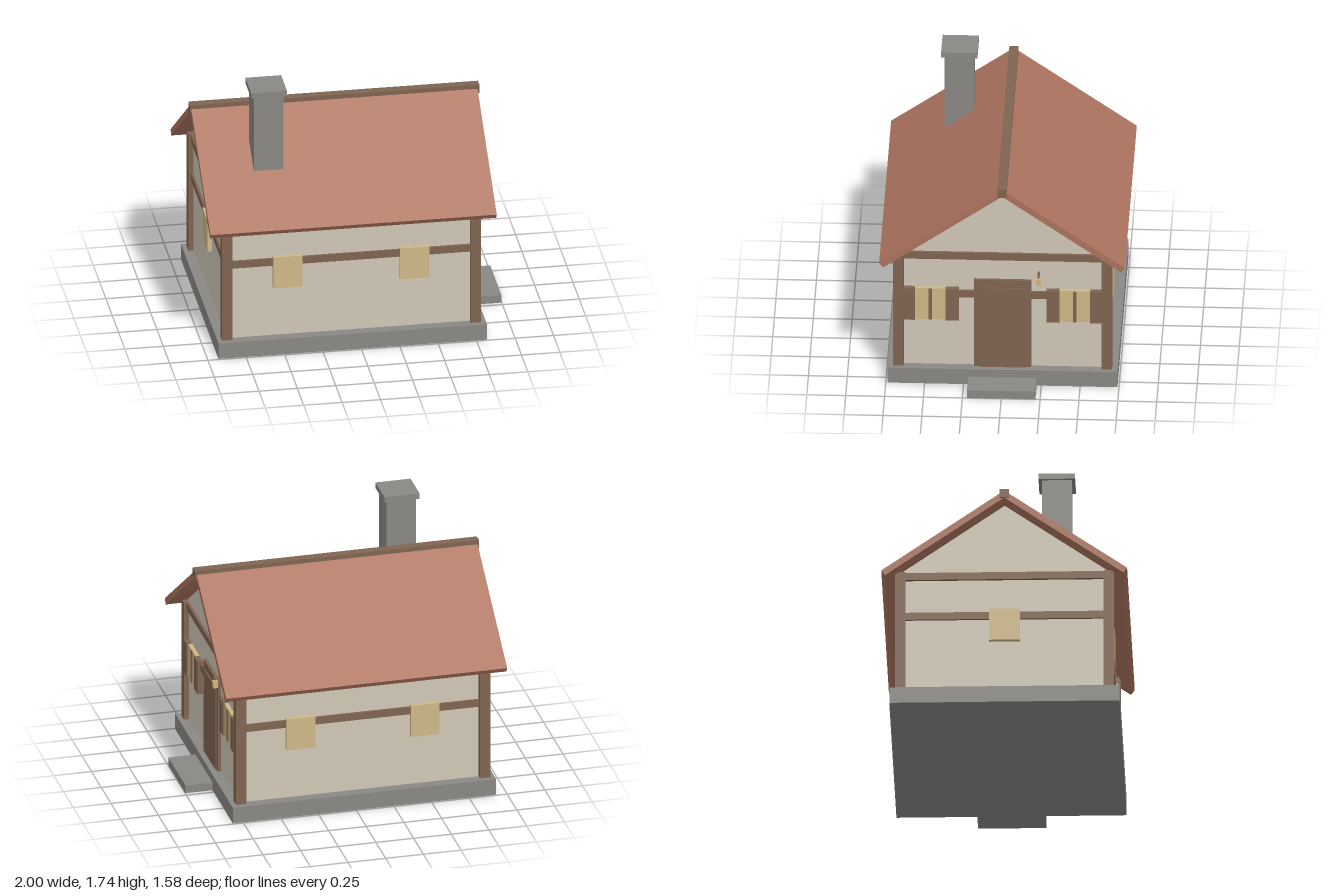
import * as THREE from 'three';

const material = (name, color) => {
  const m = new THREE.MeshStandardMaterial({ color });
  m.name = name;
  return m;
};

export function createModel() {
  const plaster = material('plaster', 0xd0c8b7);
  const timber = material('timber', 0x7f6450);
  const tile = material('roof tile', 0xac735e);
  const stone = material('stone', 0x8a8884);
  const pane = material('window pane', 0xcfb888);
  const lamp = material('lamp glow', 0xd6b27c);

  const house = new THREE.Group();
  house.name = 'cottage';

  // Box given by its extents on each axis
  const box = (name, mat, x0, x1, y0, y1, z0, z1) => {
    const mesh = new THREE.Mesh(new THREE.BoxGeometry(x1 - x0, y1 - y0, z1 - z0), mat);
    mesh.position.set((x0 + x1) / 2, (y0 + y1) / 2, (z0 + z1) / 2);
    mesh.name = name;
    house.add(mesh);
    return mesh;
  };

  // Gable profile (z, y) extruded along x
  const gableSolid = (name, mat, points, x0, x1) => {
    const shape = new THREE.Shape(points.map(([z, y]) => new THREE.Vector2(z, y)));
    const geometry = new THREE.ExtrudeGeometry(shape, { depth: x1 - x0, bevelEnabled: false });
    geometry.rotateY(Math.PI / 2);
    geometry.translate(x0, 0, 0);
    const mesh = new THREE.Mesh(geometry, mat);
    mesh.name = name;
    house.add(mesh);
  };

  const backX = -0.866, frontX = 0.752, sideZ = 0.67;

  // Stone base and doorstep
  box('foundation', stone, -0.93, 0.818, 0, 0.11, -0.74, 0.74);
  box('doorstep', stone, 0.818, 0.998, 0, 0.055, -0.22, 0.22);

  // Plaster walls with gables, and the pitched roof
  gableSolid('walls', plaster,
    [[-sideZ, 0.11], [sideZ, 0.11], [sideZ, 0.945], [0, 1.418], [-sideZ, 0.945]], backX, frontX);
  gableSolid('roof', tile,
    [[0.79, 0.912], [0, 1.468], [-0.79, 0.912], [-0.766, 0.878], [0, 1.418], [0.766, 0.878]], -0.99, 0.874);
  box('ridgeBeam', timber, -1, 0.886, 1.417, 1.475, -0.03, 0.03);

  // Corner posts
  for (const x of [backX, frontX]) {
    for (const z of [-sideZ, sideZ]) {
      box('cornerPost', timber, x - 0.034, x + 0.034, 0.11, 0.94, z - 0.034, z + 0.034);
    }
  }

  // Long sides: middle rail and two windows each
  for (const s of [-1, 1]) {
    const span = (a, b) => [Math.min(s * a, s * b), Math.max(s * a, s * b)];
    box('sideRail', timber, backX, frontX, 0.61, 0.66, ...span(0.65, 0.685));
    for (const x of [-0.47, 0.355]) {
      box('sideWindow', pane, x - 0.095, x + 0.095, 0.455, 0.675, ...span(0.66, 0.7));
    }
  }

  // Gable ends: tie beam and middle rail
  for (const x of [backX, frontX]) {
    box('tieBeam', timber, x - 0.018, x + 0.018, 0.89, 0.94, -sideZ, sideZ);
    box('gableRail', timber, x - 0.015, x + 0.015, 0.61, 0.66, -sideZ, sideZ);
  }
  box('rearWindow', pane, backX - 0.03, backX, 0.455, 0.675, -0.1, 0.1);

  // Door
  box('doorFrame', timber, frontX - 0.01, 0.774, 0.11, 0.745, -0.185, 0.185);
  box('door', timber, frontX, 0.782, 0.11, 0.69, -0.15, 0.15);

  // Shuttered windows beside the door
  for (const z of [-0.465, 0.465]) {
    box('frontWindow', pane, frontX - 0.01, 0.778, 0.452, 0.678, z - 0.1, z + 0.1);
    box('mullion', timber, frontX, 0.785, 0.452, 0.678, z - 0.011, z + 0.011);
    for (const s of [-1, 1]) {
      const c = z + s * 0.141;
      box('shutter', timber, frontX, 0.789, 0.45, 0.68, c - 0.0425, c + 0.0425);
    }
  }

  // Hanging lantern on a bracket
  box('lanternBracket', timber, frontX, 0.816, 0.79, 0.803, -0.239, -0.225);
  box('lanternHook', timber, 0.802, 0.806, 0.775, 0.792, -0.234, -0.23);
  box('lantern', lamp, 0.788, 0.82, 0.734, 0.78, -0.248, -0.216);

  // Chimney
  box('chimney', stone, -0.648, -0.455, 1.1, 1.7, 0.235, 0.426);
  box('chimneyCap', stone, -0.668, -0.435, 1.697, 1.735, 0.212, 0.446);

  return house;
}
